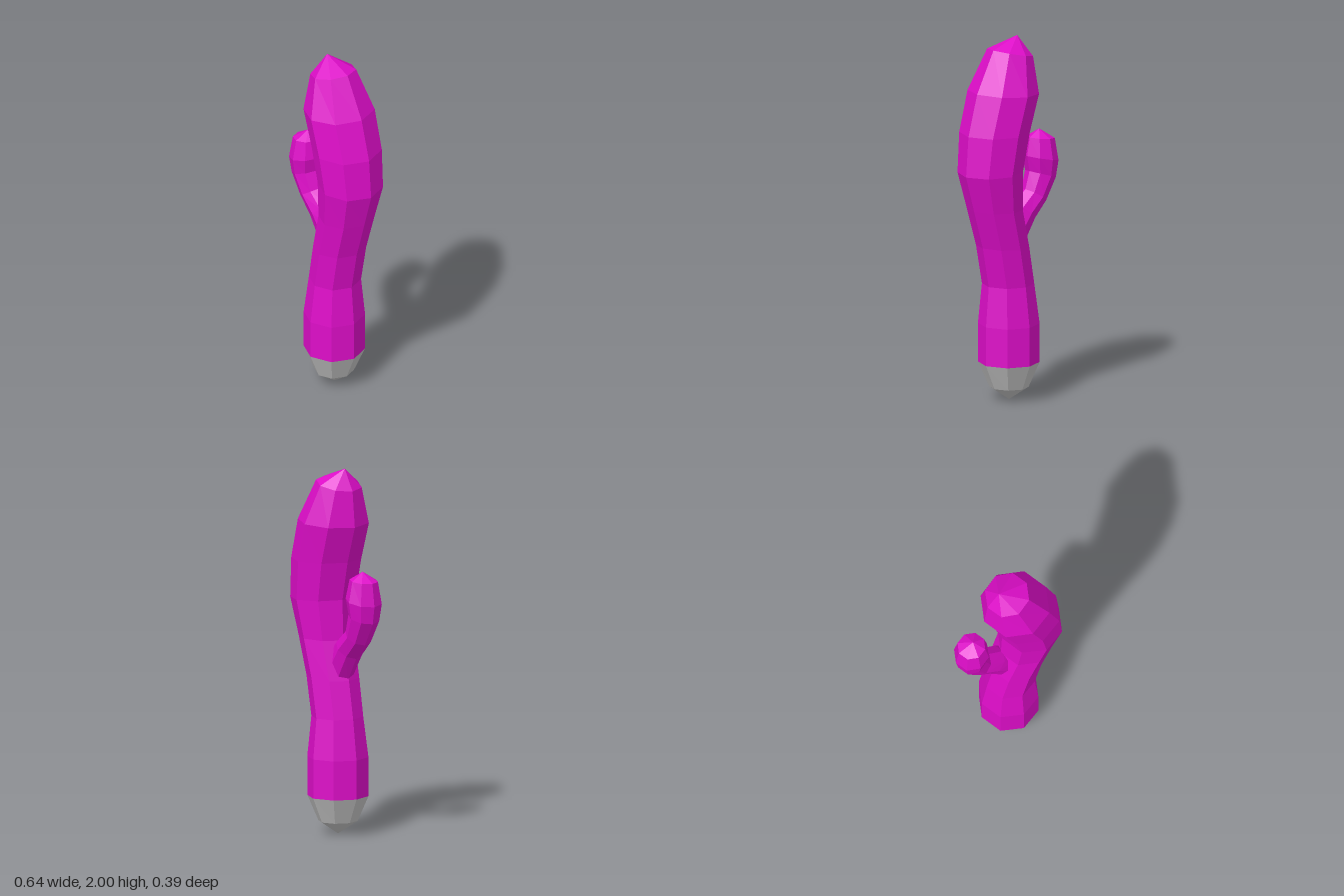
import * as THREE from 'three';

const SIDES = 8;

// Lofts eight-sided rings, listed bottom to top as [leftX, leftY, rightX, rightY, halfDepth].
// A ring with no depth is a pointed tip.
function loft(rings) {
  const positions = [];
  const point = (i, j) => {
    const [lx, ly, rx, ry, depth] = rings[i];
    const a = (j % SIDES) / SIDES * Math.PI * 2;
    const t = (1 + Math.cos(a)) / 2;
    return [lx + (rx - lx) * t, ly + (ry - ly) * t, depth * Math.sin(a)];
  };
  for (let i = 0; i < rings.length - 1; i++) {
    for (let j = 0; j < SIDES; j++) {
      const a = point(i, j), b = point(i, j + 1);
      const c = point(i + 1, j), d = point(i + 1, j + 1);
      if (rings[i][4] > 0) positions.push(...a, ...d, ...b);
      if (rings[i + 1][4] > 0) positions.push(...a, ...c, ...d);
    }
  }
  const geometry = new THREE.BufferGeometry();
  geometry.setAttribute('position', new THREE.Float32BufferAttribute(positions, 3));
  geometry.computeVertexNormals(); // unshared corners give flat facets
  return geometry;
}

export function createModel() {
  const group = new THREE.Group();
  const magenta = new THREE.MeshStandardMaterial({ color: 0xdd0dc8 });
  magenta.name = 'magenta';
  const grey = new THREE.MeshStandardMaterial({ color: 0xbfbfbf });
  grey.name = 'grey';

  const add = (name, rings, material) => {
    const mesh = new THREE.Mesh(loft(rings), material);
    mesh.name = name;
    group.add(mesh);
  };

  // Pointed grey base
  add('baseCap', [
    [0.005, 0, 0.005, 0, 0],
    [-0.1, 0.07, 0.11, 0.07, 0.108],
    [-0.16, 0.207, 0.172, 0.207, 0.166],
  ], grey);

  // Curved main stem with a pointed top
  add('body', [
    [-0.16, 0.207, 0.172, 0.207, 0.166],
    [-0.16, 0.42, 0.172, 0.42, 0.166],
    [-0.13, 0.64, 0.152, 0.64, 0.141],
    [-0.093, 0.845, 0.195, 0.86, 0.143],
    [-0.042, 1.06, 0.258, 1.07, 0.152],
    [-0.035, 1.28, 0.317, 1.27, 0.177],
    [-0.08, 1.49, 0.3, 1.49, 0.19],
    [-0.145, 1.69, 0.237, 1.715, 0.194],
    [-0.125, 1.885, 0.118, 1.94, 0.126],
    [-0.055, 2, -0.055, 2, 0],
  ], magenta);

  // Small side branch, its root sunk into the stem
  add('sideBranch', [
    [-0.078, 0.84, 0.03, 1.01, 0.072],
    [-0.157, 0.975, -0.03, 1.07, 0.075],
    [-0.235, 1.06, -0.115, 1.14, 0.075],
    [-0.305, 1.185, -0.145, 1.235, 0.086],
    [-0.32, 1.28, -0.128, 1.32, 0.1],
    [-0.302, 1.405, -0.147, 1.42, 0.077],
    [-0.215, 1.46, -0.215, 1.46, 0],
  ], magenta);

  return group;
}
